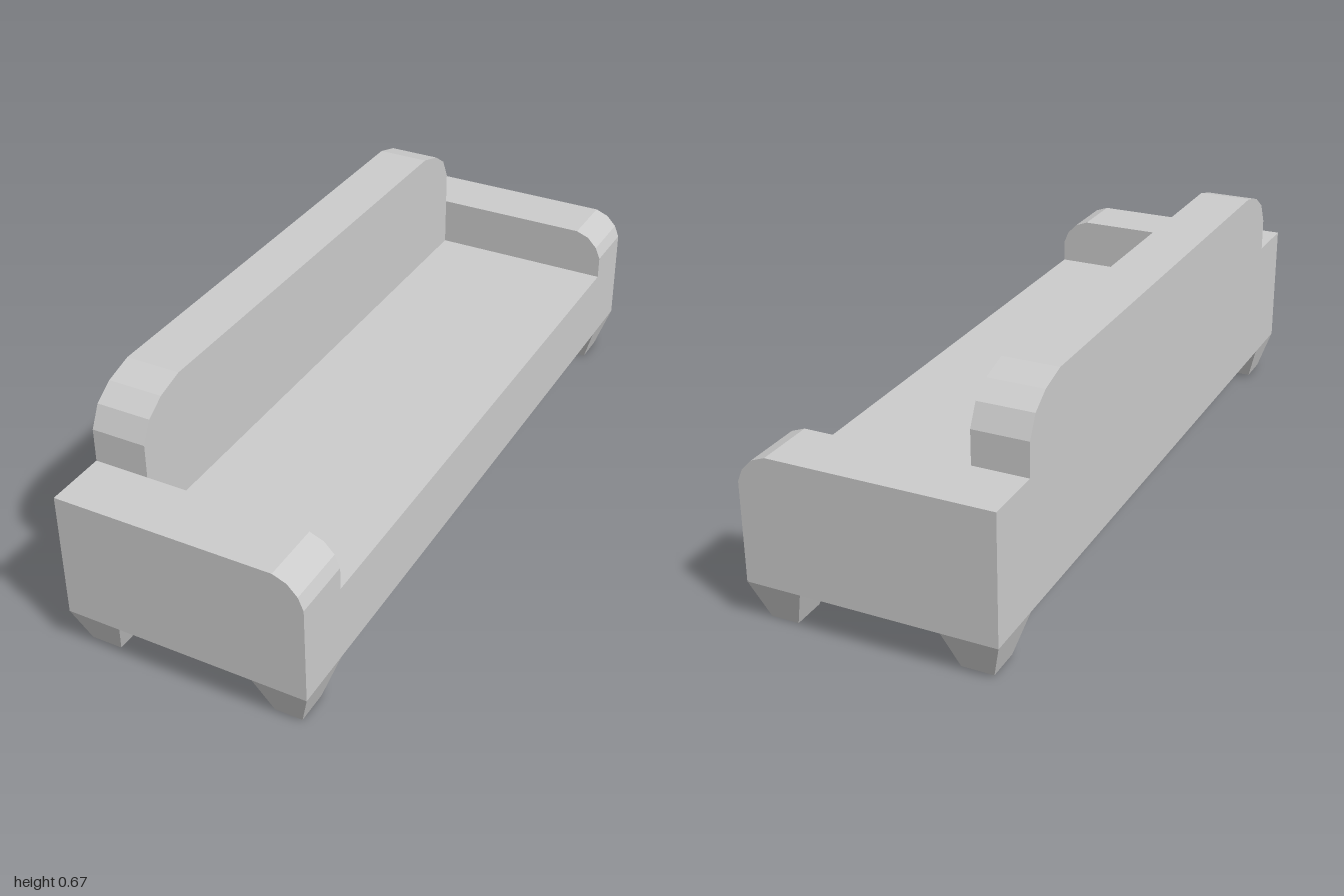
import * as THREE from 'three';

const X = 0.337;      // half depth of the sofa (front is +x)
const INNER = 0.832;  // inner face of the armrests
const BACK_X = -0.188; // front face of the backrest
const BASE_Y = 0.11, SEAT_Y = 0.32, ARM_Y = 0.46, TOP_Y = 0.668;

const material = new THREE.MeshStandardMaterial({ color: 0xcccccc, flatShading: true });

function addMesh(parent, name, geometry) {
  const mesh = new THREE.Mesh(geometry, material);
  mesh.name = name;
  parent.add(mesh);
  return mesh;
}

// Straight-edged outline pushed out along z
function extrude(points, depth) {
  const shape = new THREE.Shape(points.map(([x, y]) => new THREE.Vector2(x, y)));
  return new THREE.ExtrudeGeometry(shape, { depth, bevelEnabled: false });
}

// Block narrowing towards the floor
function taperedLeg(bottomY, x0, x1) {
  const geometry = new THREE.BoxGeometry(1, 1, 1);
  const p = geometry.attributes.position;
  for (let i = 0; i < p.count; i++) {
    const top = p.getY(i) > 0, outX = p.getX(i) > 0, outZ = p.getZ(i) > 0;
    const x = top ? (outX ? X : -BACK_X) : (outX ? x1 : x0);
    const z = top ? (outZ ? 1 : INNER) : (outZ ? 0.962 : 0.87);
    p.setXYZ(i, x, top ? BASE_Y : bottomY, z);
  }
  geometry.computeVertexNormals();
  return geometry;
}

export function createModel() {
  const sofa = new THREE.Group();
  sofa.name = 'sofa';

  // Seat block between the armrests
  addMesh(sofa, 'seat', new THREE.BoxGeometry(2 * X, SEAT_Y - BASE_Y, 2 * INNER))
    .position.y = (SEAT_Y + BASE_Y) / 2;

  // Armrests, rounded at the front top corner
  const armProfile = [
    [-X, BASE_Y], [X, BASE_Y], [X, 0.383], [0.323, 0.417],
    [0.295, 0.446], [0.258, ARM_Y], [-X, ARM_Y],
  ];
  for (const [name, z] of [['armrestPlusZ', INNER], ['armrestMinusZ', -1]]) {
    addMesh(sofa, name, extrude(armProfile, 1 - INNER)).position.z = z;
  }

  // Backrest with both upper corners rounded
  const half = [[INNER, SEAT_Y], [INNER, 0.552], [0.803, 0.61], [0.75, 0.646], [0.672, TOP_Y]];
  const mirrored = half.map(([z, y]) => [-z, y]).reverse();
  const back = extrude([...half, ...mirrored], X + BACK_X);
  back.rotateY(-Math.PI / 2);
  back.translate(BACK_X, 0, 0);
  addMesh(sofa, 'backrest', back);

  // Four tapered legs; half turns and quarter mirrors keep the winding outward
  for (const sx of [1, -1]) {
    for (const sz of [1, -1]) {
      const leg = addMesh(sofa, sx > 0 ? 'frontLeg' : 'rearLeg',
        sx > 0 ? taperedLeg(0, 0.225, 0.301) : taperedLeg(0.007, 0.22, 0.306));
      leg.scale.set(sx, 1, sz);
    }
  }
  return sofa;
}
